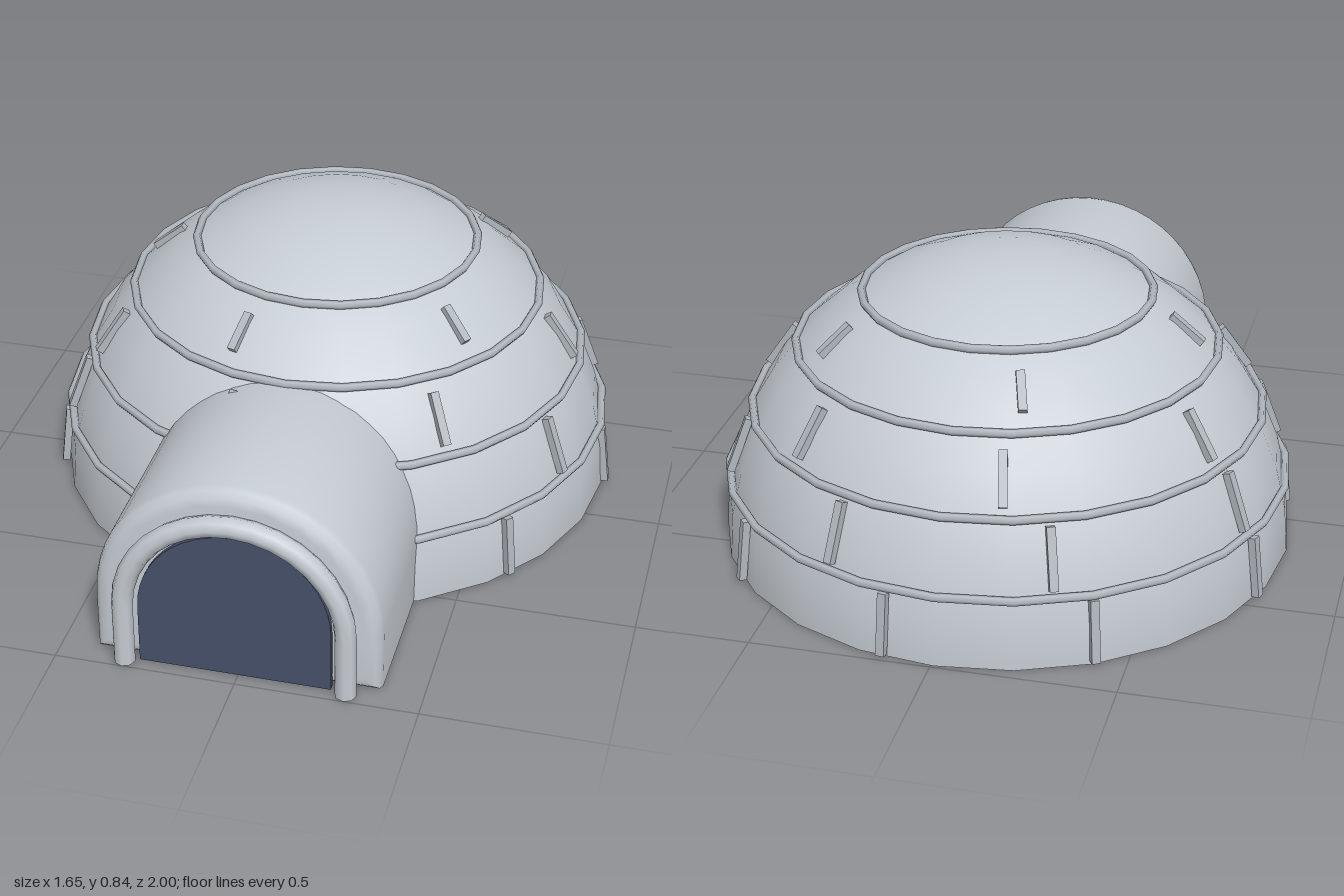
import * as THREE from 'three';
import { toCreasedNormals } from 'three/addons/utils/BufferGeometryUtils.js';

const R = 0.815, H = 0.84;          // dome radius and height
const CX = -0.008, CZ = -0.178;     // dome centre
const ARCH_Y = 0.183;               // spring line of the entrance arch

const domeRadius = (y) => R * Math.sqrt(1 - (y / H) ** 2);

// Upright arch outline: straight legs and a half-round top
function archShape(r, bottom) {
  const s = new THREE.Shape();
  s.moveTo(-r, bottom);
  s.lineTo(r, bottom);
  s.lineTo(r, ARCH_Y);
  s.absarc(0, ARCH_Y, r, 0, Math.PI, false);
  s.lineTo(-r, bottom);
  return s;
}

export function createModel() {
  const snow = new THREE.MeshStandardMaterial({ color: 0xc6ccd3 });
  snow.name = 'snow';
  const seam = new THREE.MeshStandardMaterial({ color: 0xb2b8bf });
  seam.name = 'seam';
  const dark = new THREE.MeshStandardMaterial({ color: 0x465068 });
  dark.name = 'doorway blue';

  const model = new THREE.Group();
  model.name = 'snowHouse';
  const add = (name, geometry, material, parent = model) => {
    const mesh = new THREE.Mesh(geometry, material);
    mesh.name = name;
    parent.add(mesh);
    return mesh;
  };

  // Dome with its floor
  const dome = new THREE.Group();
  dome.name = 'dome';
  dome.position.set(CX, 0, CZ);
  model.add(dome);
  const shell = new THREE.SphereGeometry(R, 24, 10, 0, Math.PI * 2, 0, Math.PI / 2);
  add('domeShell', shell.scale(1, H / R, 1), snow, dome);
  add('domeFloor', new THREE.CircleGeometry(R, 24).rotateX(Math.PI / 2), snow, dome);

  // Horizontal seams between the courses of blocks
  for (const y of [0.2, 0.398, 0.582, 0.732]) {
    const ring = new THREE.TorusGeometry(domeRadius(y) + 0.008, 0.012, 6, 24).rotateX(Math.PI / 2);
    add('courseSeam', ring, seam, dome).position.y = y;
  }

  // Upright seams, fewer in each higher course and staggered
  const courses = [
    { y: 0.1, count: 9, length: 0.18 },
    { y: 0.302, count: 8, length: 0.17 },
    { y: 0.488, count: 7, length: 0.15 },
    { y: 0.66, count: 5, length: 0.115 },
  ];
  courses.forEach(({ y, count, length }, row) => {
    const r = domeRadius(y);
    const lean = Math.atan((R * R * y) / (H * H * r));
    for (let i = 0; i < count; i++) {
      const angle = ((i + (row % 2) / 2) / count) * Math.PI * 2;
      const bar = new THREE.BoxGeometry(0.022, length, 0.024);
      bar.rotateZ(lean).translate(r + 0.004, y, 0).rotateY(-angle);
      add('blockSeam', bar, seam, dome);
    }
  });

  // Entrance tunnel with a rounded front rim
  const bevel = 0.04;
  const tunnel = new THREE.ExtrudeGeometry(archShape(0.394 - bevel, bevel), {
    depth: 0.6, curveSegments: 12, bevelSize: bevel, bevelThickness: bevel, bevelSegments: 3,
  });
  add('entranceTunnel', toCreasedNormals(tunnel, 0.7), snow).position.set(CX, 0, 0.31);

  // Dark doorway panel
  const door = new THREE.ExtrudeGeometry(archShape(0.264, 0.004), {
    depth: 0.016, curveSegments: 12, bevelEnabled: false,
  });
  add('doorway', door, dark).position.set(CX, 0, 0.949);

  // Round trim around the doorway
  const trim = new THREE.Group();
  trim.name = 'doorTrim';
  trim.position.set(CX, 0, 0.97);
  model.add(trim);
  const r = 0.305, tube = 0.03;
  add('trimArch', new THREE.TorusGeometry(r, tube, 8, 16, Math.PI), snow, trim).position.y = ARCH_Y;
  for (const side of [-1, 1]) {
    const leg = add('trimLeg', new THREE.CylinderGeometry(tube, tube, ARCH_Y, 8), snow, trim);
    leg.rotation.y = Math.PI / 2;
    leg.position.set(side * r, ARCH_Y / 2, 0);
  }
  return model;
}
